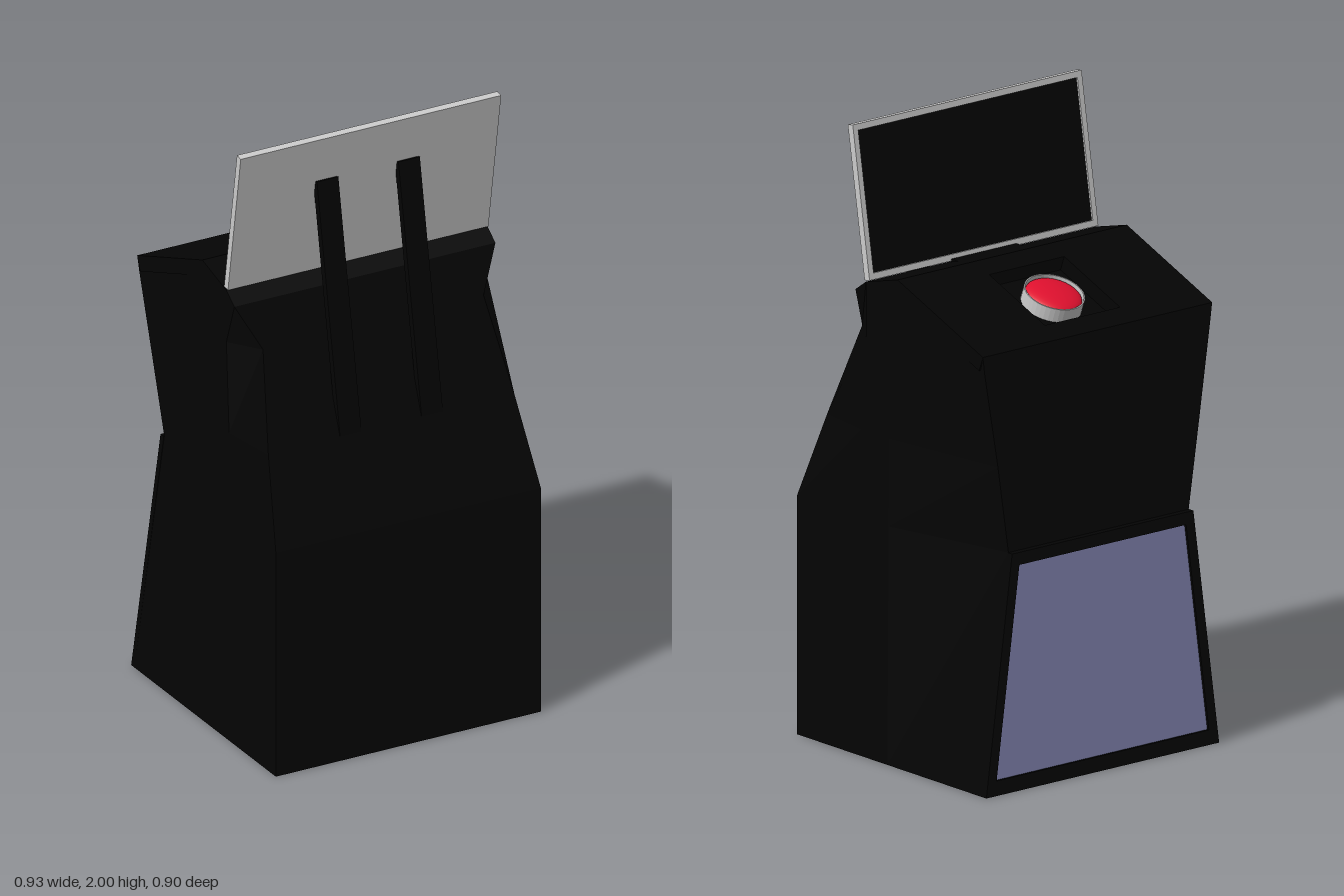
import * as THREE from 'three';

const mat = (color) => new THREE.MeshStandardMaterial({ color, flatShading: true });
const black = mat(0x040404);
const grey = mat(0xcccccc);
const red = new THREE.MeshStandardMaterial({ color: 0xe0102e });
const lilac = mat(0x8e90c0);

function add(parent, name, geometry, material, x = 0, y = 0, z = 0) {
  const mesh = new THREE.Mesh(geometry, material);
  mesh.name = name;
  mesh.position.set(x, y, z);
  parent.add(mesh);
  return mesh;
}

// Symmetric trapezoid outline
function trapezoid(bottomHalf, topHalf, y0, y1) {
  return [[-bottomHalf, y0], [bottomHalf, y0], [topHalf, y1], [-topHalf, y1]]
    .map(([x, y]) => new THREE.Vector2(x, y));
}

function plate(outer, hole, depth) {
  const shape = new THREE.Shape(outer);
  if (hole) shape.holes.push(new THREE.Path(hole));
  return new THREE.ExtrudeGeometry(shape, { depth, bevelEnabled: false });
}

// Cabinet shell: rows from bottom to top, each running front to back as [half width, y, z].
// The sides pinch in at the upper front edge and at the back waist.
function cabinetGeometry() {
  const rows = [
    [[0.465, 0, 0.45], [0.465, 0, 0.15], [0.465, 0, 0.02], [0.465, 0, -0.43]],
    [[0.465, 0.76, 0.45], [0.465, 0.76, 0.15], [0.46, 0.76, 0.02], [0.36, 0.76, -0.43]],
    [[0.432, 1.04, 0.345], [0.46, 1.04, 0.15], [0.458, 1.04, 0.02], [0.402, 1.04, -0.43]],
    [[0.387, 1.34, 0.232], [0.458, 1.34, 0.13], [0.458, 1.34, 0], [0.45, 1.34, -0.425]],
    [[0.458, 1.48, 0.18], [0.458, 1.515, 0.13], [0.458, 1.555, -0.02], [0.458, 1.4, -0.425]],
  ];
  const positions = [];
  const quad = (a, b, c, d) => positions.push(...a, ...b, ...c, ...a, ...c, ...d);
  const m = ([x, y, z]) => [-x, y, z];
  for (let i = 0; i < rows.length - 1; i++) {
    const lo = rows[i], hi = rows[i + 1];
    for (let j = 0; j < 3; j++) {
      quad(lo[j], lo[j + 1], hi[j + 1], hi[j]);
      quad(m(lo[j + 1]), m(lo[j]), m(hi[j]), m(hi[j + 1]));
    }
    quad(m(lo[0]), lo[0], hi[0], m(hi[0]));
    quad(lo[3], m(lo[3]), m(hi[3]), hi[3]);
  }
  const top = rows[4], base = rows[0];
  // The rear slope is left open for the button deck
  for (let j = 0; j < 2; j++) quad(m(top[j]), top[j], top[j + 1], m(top[j + 1]));
  quad(m(base[3]), base[3], base[0], m(base[0]));
  const g = new THREE.BufferGeometry();
  g.setAttribute('position', new THREE.Float32BufferAttribute(positions, 3));
  g.computeVertexNormals();
  return g;
}

function lathe(points, segments = 40) {
  return new THREE.LatheGeometry(points.map(([x, y]) => new THREE.Vector2(x, y)), segments);
}

export function createModel() {
  const model = new THREE.Group();
  model.name = 'buttonStand';

  add(model, 'cabinet', cabinetGeometry(), black);

  // Sloped deck with a square recess
  const deck = new THREE.Group();
  deck.name = 'buttonDeck';
  deck.position.set(0, 1.4775, -0.2225);
  deck.rotation.x = -Math.atan2(0.155, 0.405);
  model.add(deck);
  const deckPlate = plate(trapezoid(0.458, 0.458, -0.217, 0.217),
    trapezoid(0.15, 0.15, -0.143, 0.14), 0.05);
  deckPlate.rotateX(-Math.PI / 2);
  add(deck, 'deckPlate', deckPlate, black, 0, -0.05, 0);
  add(deck, 'recessFloor', new THREE.BoxGeometry(0.32, 0.01, 0.31), black, 0, -0.055, 0);

  // Button: thin collar around a shallow dome
  add(deck, 'buttonCollar', lathe([[0.096, -0.05], [0.096, -0.003], [0.092, -0.003], [0.092, -0.05]]), grey);
  const dome = [[0.09, -0.05], [0.09, -0.018]];
  for (let i = 1; i <= 8; i++) {
    const a = (i / 8) * Math.PI / 2;
    dome.push([0.09 * Math.cos(a), -0.018 + 0.022 * Math.sin(a)]);
  }
  add(deck, 'buttonDome', lathe(dome), red);

  // Tapered display on the lower back
  add(model, 'backFrame', plate(trapezoid(0.465, 0.362, 0, 0.76),
    trapezoid(0.424, 0.333, 0.048, 0.72), 0.02), black, 0, 0, -0.45);
  add(model, 'backDisplay', plate(trapezoid(0.424, 0.333, 0.048, 0.72), null, 0.012), lilac, 0, 0, -0.442);

  // Tilted monitor, its screen facing the back
  const monitor = new THREE.Group();
  monitor.name = 'monitor';
  monitor.position.set(0, 1.52, 0.126);
  monitor.rotation.x = Math.atan2(0.08, 0.48);
  model.add(monitor);
  const h = 0.485;
  add(monitor, 'monitorShell', new THREE.BoxGeometry(0.914, h, 0.012), grey, 0, h / 2, 0.006);
  add(monitor, 'monitorFrame', plate(trapezoid(0.457, 0.457, 0, h),
    trapezoid(0.438, 0.438, 0.02, h - 0.02), 0.012), grey, 0, 0, -0.012);
  add(monitor, 'monitorScreen', new THREE.BoxGeometry(0.876, h - 0.04, 0.006), black, 0, h / 2, -0.003);

  add(model, 'monitorFoot', new THREE.BoxGeometry(0.26, 0.04, 0.05), black, 0, 1.508, 0.093);

  // Two struts from the front slope to the monitor
  const y0 = 1.04, z0 = 0.334, y1 = 1.845, z1 = 0.19;
  for (const side of [-1, 1]) {
    const strut = add(model, side > 0 ? 'leftStrut' : 'rightStrut',
      new THREE.BoxGeometry(0.075, Math.hypot(y1 - y0, z1 - z0), 0.024), black,
      side * 0.143, (y0 + y1) / 2, (z0 + z1) / 2);
    strut.rotation.x = Math.atan2(z1 - z0, y1 - y0);
  }
  return model;
}
